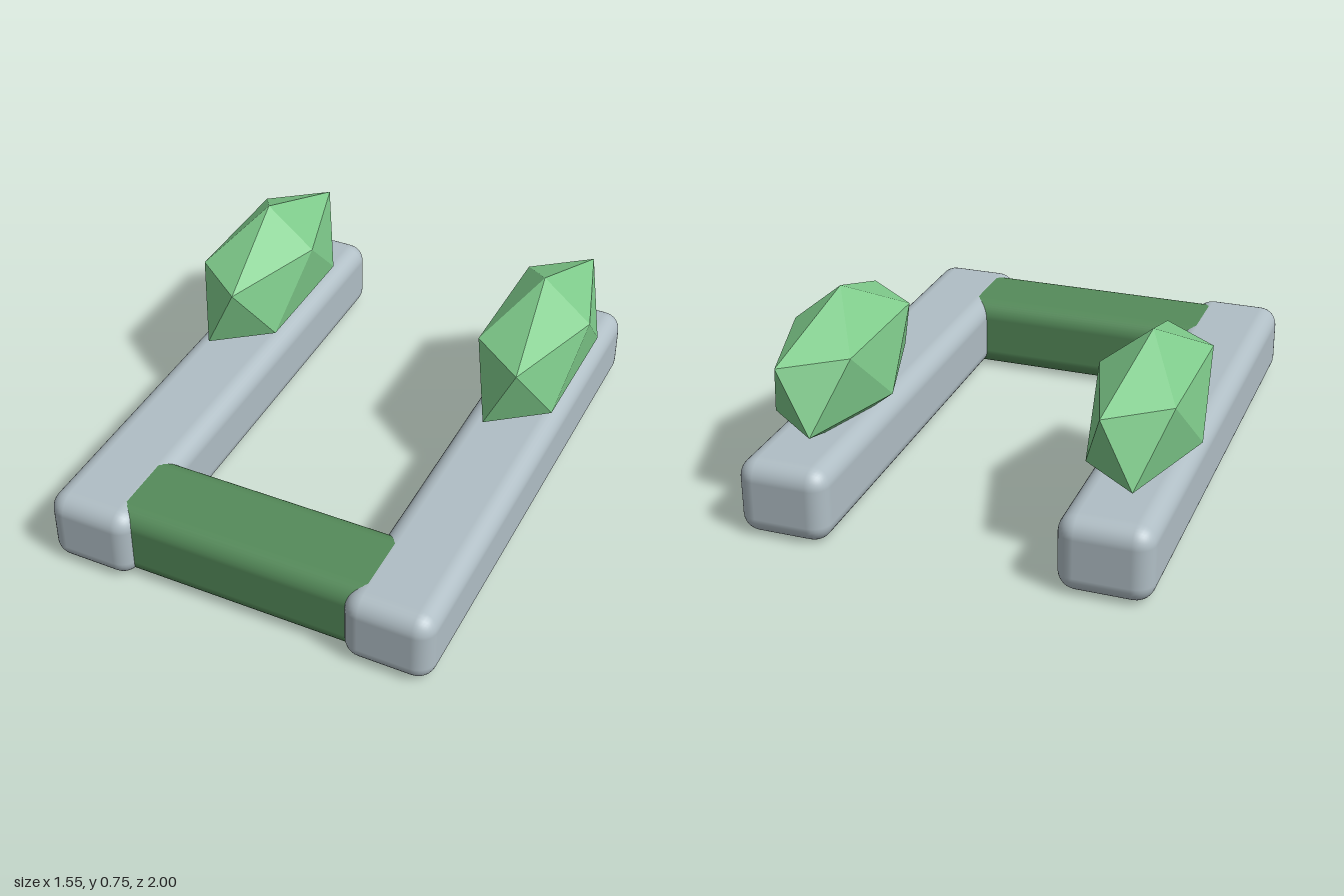
import * as THREE from 'three';
import { RoundedBoxGeometry } from 'three/addons/geometries/RoundedBoxGeometry.js';

const HEIGHT = 0.285;
const ROUND = 0.07;
const RAIL_X = 0.585;

export function createModel() {
  const model = new THREE.Group();
  const material = (name, color) => {
    const m = new THREE.MeshStandardMaterial({ color });
    m.name = name;
    return m;
  };
  const stone = material('pale stone', 0xb0bec5);
  const darkGreen = material('dark green', 0x558b5a);
  const crystalGreen = material('crystal green', 0x7fcb8b);

  const add = (name, geometry, mat, x, y, z) => {
    const mesh = new THREE.Mesh(geometry, mat);
    mesh.name = name;
    mesh.position.set(x, y, z);
    model.add(mesh);
  };

  // Faceted crystal: icosahedron standing on one vertex, stretched along z
  const crystal = new THREE.IcosahedronGeometry(1, 0);
  crystal.rotateZ(-Math.atan(2 / (1 + Math.sqrt(5))));
  crystal.scale(0.2125, 0.28, 0.5);

  // Two long rails, each carrying a crystal of the same orientation
  const rail = new RoundedBoxGeometry(0.34, HEIGHT, 2, 4, ROUND);
  for (const [side, s] of [['left', 1], ['right', -1]]) {
    add(side + 'Rail', rail, stone, s * RAIL_X, HEIGHT / 2, 0);
    add(side + 'Crystal', crystal, crystalGreen, s * RAIL_X, 0.47, -0.43);
  }

  // Cross bar joining the rails at the front, a hair lower to avoid shared faces
  const bar = new RoundedBoxGeometry(1.46, HEIGHT - 0.002, 0.36, 4, ROUND);
  add('crossBar', bar, darkGreen, 0, HEIGHT / 2, 0.78);

  return model;
}
